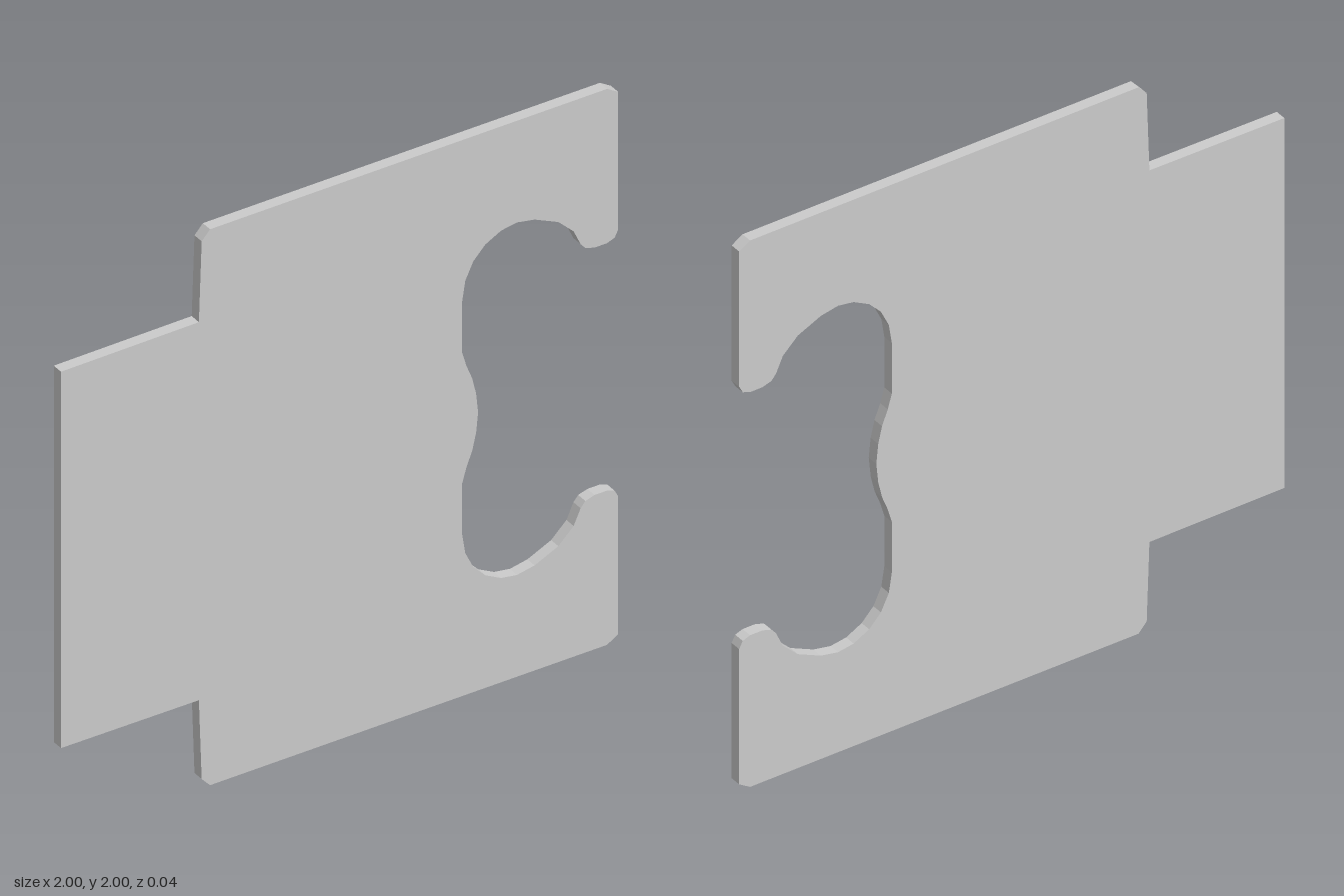
import * as THREE from 'three';

const THICKNESS = 0.04;

// Upper half of the outline, as heights above the plate's middle line
const upperHalf = [
  // wavy inner edge of the opening
  [0.497, 0], [0.49, 0.07], [0.476, 0.13], [0.455, 0.183], [0.44, 0.235],
  // rounded lobe
  [0.44, 0.42], [0.451, 0.49], [0.48, 0.55], [0.523, 0.595], [0.58, 0.625],
  [0.637, 0.634], [0.7, 0.622], [0.785, 0.583], [0.84, 0.53],
  // rounded hook tip
  [0.865, 0.475], [0.882, 0.455], [0.915, 0.445], [0.96, 0.445], [0.987, 0.455], [1, 0.48],
  // bevelled outer corners
  [1, 0.975], [0.96, 1], [-0.465, 1], [-0.495, 0.967],
  // step down to the narrower tab
  [-0.505, 0.68], [-1, 0.677],
];

export function createModel() {
  const group = new THREE.Group();
  group.name = 'notchedPlate';

  // Mirror the upper half about the middle line to close the outline
  const lowerHalf = upperHalf.slice(1).reverse().map(([x, y]) => [x, -y]);
  const outline = [...upperHalf, ...lowerHalf].map(([x, y]) => new THREE.Vector2(x, y + 1));

  // Flat plate with a C-shaped opening
  const geometry = new THREE.ExtrudeGeometry(new THREE.Shape(outline), {
    depth: THICKNESS,
    bevelEnabled: false,
  });
  geometry.translate(0, 0, -THICKNESS / 2);

  const plate = new THREE.Mesh(
    geometry,
    new THREE.MeshStandardMaterial({ color: 0xcccccc, flatShading: true }),
  );
  plate.name = 'plate';
  group.add(plate);
  return group;
}
